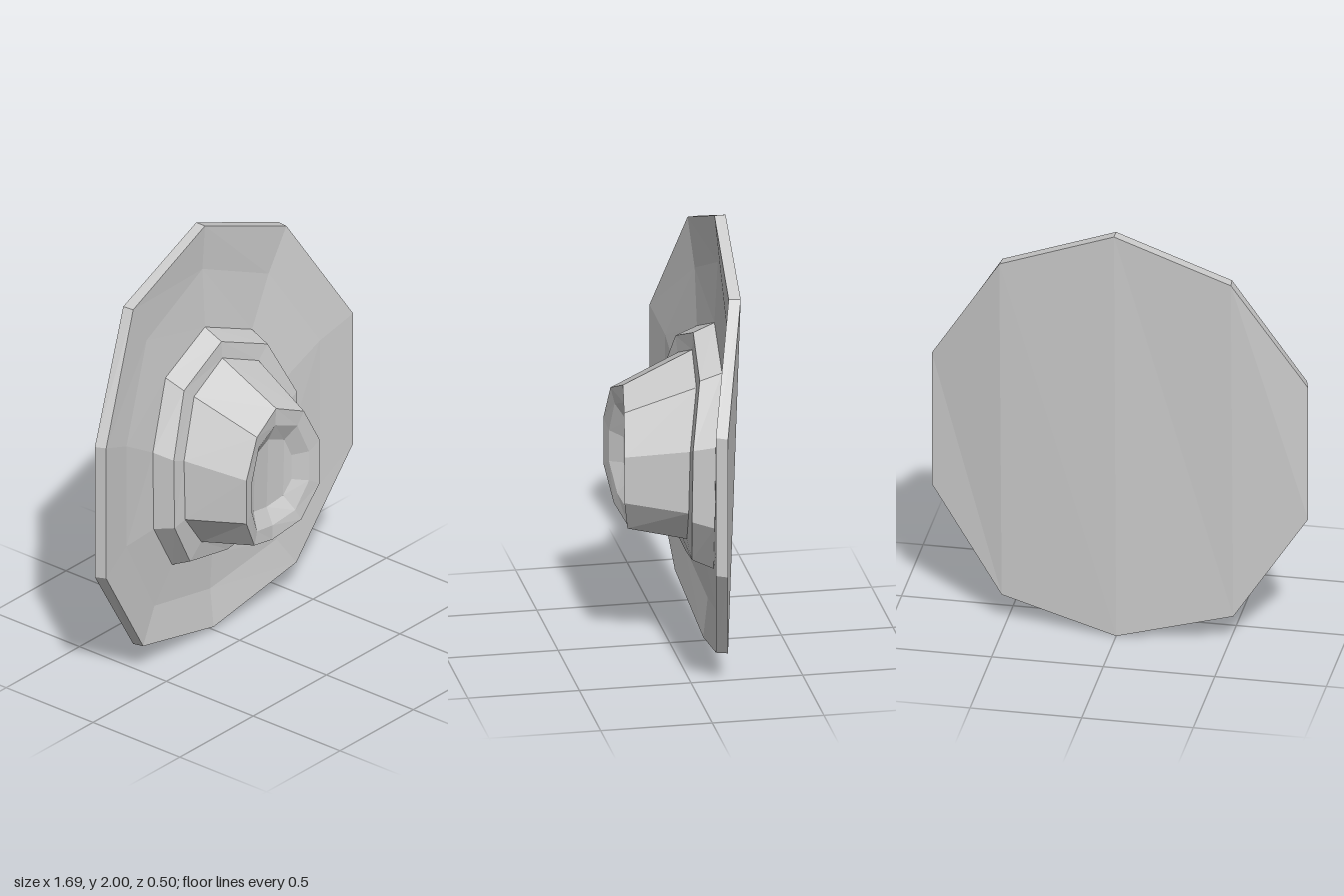
import * as THREE from 'three';

// Cross-sections: the +x half of each ten-sided ring, top to bottom, as [x, y, z]
const backRim = [[0, 2, -0.25], [0.52, 1.8, -0.225], [0.845, 1.27, -0.11], [0.845, 0.62, -0.11], [0.52, 0.135, -0.168], [0, 0, -0.2]];
const frontRim = [[0, 2, -0.2], [0.515, 1.8, -0.172], [0.83, 1.275, -0.058], [0.83, 0.625, -0.058], [0.515, 0.14, -0.115], [0, 0.015, -0.15]];
const dishMid = [[0, 1.78, -0.215], [0.41, 1.6, -0.185], [0.65, 1.2, -0.095], [0.65, 0.7, -0.095], [0.41, 0.29, -0.14], [0, 0.2, -0.17]];
const collarBack = [[0, 1.495, -0.2], [0.295, 1.37, -0.178], [0.45, 1.08, -0.12], [0.45, 0.7, -0.115], [0.295, 0.45, -0.14], [0, 0.375, -0.16]];
const collarFront = [[0, 1.455, -0.105], [0.285, 1.335, -0.08], [0.42, 1.06, -0.025], [0.42, 0.725, -0.02], [0.285, 0.495, -0.045], [0, 0.43, -0.07]];
const coneBack = [[0, 1.375, -0.1], [0.22, 1.28, -0.077], [0.35, 1.03, -0.025], [0.35, 0.74, -0.018], [0.22, 0.57, -0.035], [0, 0.51, -0.05]];
const coneFront = [[0, 1.23, 0.21], [0.16, 1.16, 0.235], [0.25, 0.985, 0.25], [0.25, 0.77, 0.25], [0.16, 0.615, 0.22], [0, 0.57, 0.19]];
const socketRim = [[0, 1.145, 0.205], [0.13, 1.095, 0.222], [0.195, 0.945, 0.235], [0.195, 0.8, 0.235], [0.13, 0.67, 0.21], [0, 0.64, 0.19]];
const socketFloor = [[0, 1.06, 0.165], [0.1, 1.02, 0.172], [0.14, 0.93, 0.18], [0.14, 0.81, 0.18], [0.1, 0.74, 0.165], [0, 0.72, 0.155]];

// Mirror a half section into a full ring; tilt leans the dish slightly sideways
const ring = (half, tilt = 0) =>
  [...half, ...half.slice(1, 5).reverse().map(([x, y, z]) => [-x, y, z])]
    .map(([x, y, z]) => [x, y, z + tilt * x]);

const quad = (out, a, b, c, d) => out.push(...a, ...b, ...c, ...a, ...c, ...d);

// Band of quads joining an outer (or rear) ring to the next ring inward
function band(out, a, b) {
  for (let i = 0; i < a.length; i++) {
    const j = (i + 1) % a.length;
    quad(out, a[i], b[i], b[j], a[j]);
  }
}

// Close a ring with upright strips, facing the front or the back
function cap(out, r, front) {
  const n = r.length;
  for (let i = -2; i < 2; i++) {
    const at = k => r[(k + n) % n];
    const [a, b, c, d] = [at(i), at(5 - i), at(4 - i), at(i + 1)];
    if (front) quad(out, a, b, c, d);
    else quad(out, d, c, b, a);
  }
}

function makeMesh(name, positions) {
  const geometry = new THREE.BufferGeometry();
  geometry.setAttribute('position', new THREE.Float32BufferAttribute(positions, 3));
  geometry.computeVertexNormals();
  const mesh = new THREE.Mesh(geometry, new THREE.MeshStandardMaterial({ color: 0xcccccc, flatShading: true }));
  mesh.name = name;
  return mesh;
}

// One part lofted through a list of rings
function loft(name, rings, { back = false, front = false } = {}) {
  const out = [];
  for (let i = 0; i < rings.length - 1; i++) band(out, rings[i], rings[i + 1]);
  if (back) cap(out, rings[0], false);
  if (front) cap(out, rings[rings.length - 1], true);
  return makeMesh(name, out);
}

export function createModel() {
  const group = new THREE.Group();
  group.name = 'roundShield';
  const tilt = 0.012;
  // Bowed plate with a thin rim
  group.add(loft('dish', [ring(backRim, tilt), ring(frontRim, tilt), ring(dishMid, tilt), ring(collarBack)], { back: true }));
  // Stepped ring around the boss
  group.add(loft('collar', [collarBack, collarFront, coneBack].map(h => ring(h))));
  // Tapering central boss and its front lip
  group.add(loft('boss', [coneBack, coneFront, socketRim].map(h => ring(h))));
  // Shallow hollow in the boss
  group.add(loft('socket', [socketRim, socketFloor].map(h => ring(h)), { front: true }));
  return group;
}
